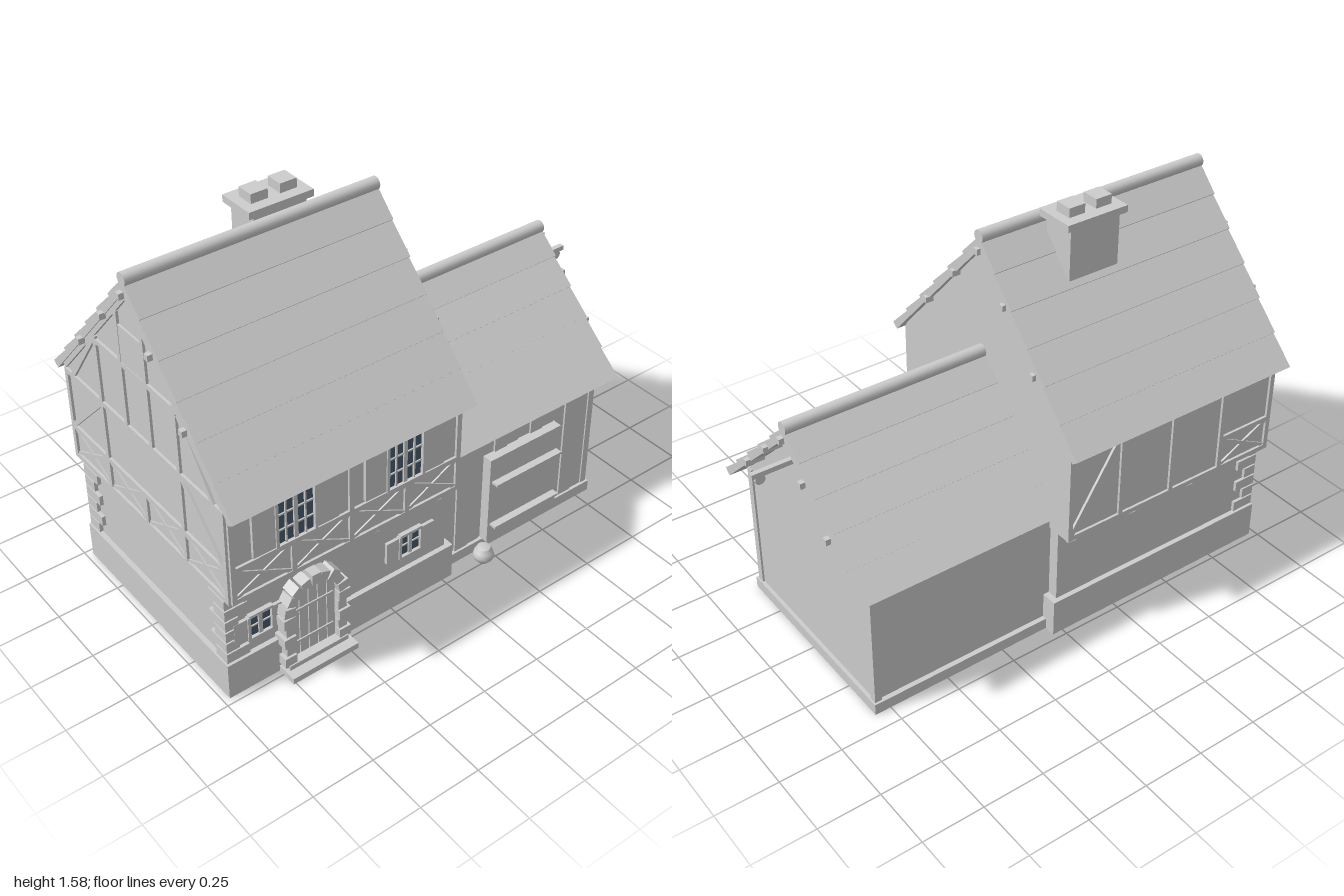
import * as THREE from 'three';

const stone = new THREE.MeshStandardMaterial({ color: 0xcccccc });
stone.name = 'pale grey';
const glass = new THREE.MeshStandardMaterial({ color: 0x4a5c6e });
glass.name = 'window glass';

function add(parent, name, geo, mat = stone) {
  const m = new THREE.Mesh(geo, mat);
  m.name = name;
  parent.add(m);
  return m;
}
// Box given by its minimum and maximum on each axis
function box(parent, name, x0, x1, y0, y1, z0, z1, mat) {
  const m = add(parent, name, new THREE.BoxGeometry(x1 - x0, y1 - y0, z1 - z0), mat);
  m.position.set((x0 + x1) / 2, (y0 + y1) / 2, (z0 + z1) / 2);
  return m;
}
// Cross-section of [z, y] points drawn out along x
function prism(parent, name, pts, x0, x1) {
  const shape = new THREE.Shape(pts.map(p => new THREE.Vector2(p[0], p[1])));
  const geo = new THREE.ExtrudeGeometry(shape, { depth: x1 - x0, bevelEnabled: false });
  geo.rotateY(-Math.PI / 2).translate(x1, 0, 0);
  return add(parent, name, geo);
}
// Flat timber between two points on a facade (local z points outwards)
function timber(parent, x0, y0, x1, y1, w = 0.02, d = 0.012) {
  const m = add(parent, 'timber', new THREE.BoxGeometry(Math.hypot(x1 - x0, y1 - y0), w, d));
  m.position.set((x0 + x1) / 2, (y0 + y1) / 2, d / 2 - 0.002);
  m.rotation.z = Math.atan2(y1 - y0, x1 - x0);
}
function cross(parent, x0, x1, y0, y1) {
  timber(parent, x0, y0, x1, y1, 0.014, 0.008);
  timber(parent, x0, y1, x1, y0, 0.014, 0.009);
}
function facade(parent, name, x, z, turn) {
  const g = new THREE.Group();
  g.name = name;
  g.position.set(x, 0, z);
  g.rotation.y = turn;
  parent.add(g);
  return g;
}

// Both stepped roof slopes, the ridge roll and the purlin ends
function roof(parent, x0, x1, inTop, outTop, inEave, outEave, tiers, purlins, ends) {
  for (const s of [1, -1]) {
    const pts = [[0, inTop], [s * inEave[0], inEave[1]]];
    for (let i = tiers; i > 0; i--) {
      const at = (t, up) => [s * outEave[0] * t + s * up, outTop + (outEave[1] - outTop) * t + up];
      pts.push(at(i / tiers, 0.004), at((i - 1) / tiers, i === 1 ? 0 : -0.003));
    }
    prism(parent, 'roofSlope', pts, x0, x1);
  }
  const ridge = add(parent, 'ridgeRoll', new THREE.CylinderGeometry(0.025, 0.025, x1 - x0, 20));
  ridge.rotation.z = Math.PI / 2;
  ridge.position.set((x0 + x1) / 2, outTop, 0);
  for (const [z, y] of purlins) for (const s of z ? [1, -1] : [1])
    box(parent, 'purlin', ends[0], ends[1], y - 0.012, y + 0.012, s * z - 0.011, s * z + 0.011);
}

// Casement window with shutters
function windowUnit(parent, cx, y0, y1, half, shutter, z, cols, rows) {
  const g = new THREE.Group();
  g.name = 'window';
  parent.add(g);
  const f = 0.012;
  box(g, 'pane', cx - half, cx + half, y0, y1, z, z + 0.005, glass);
  for (const s of [-1, 1]) {
    const jamb = cx + s * half;
    box(g, 'frameSide', jamb - f / 2, jamb + f / 2, y0, y1, z, z + 0.018);
    const a = cx + s * (half + f / 2), b = a + s * shutter;
    box(g, 'shutter', Math.min(a, b), Math.max(a, b), y0 + 0.005, y1 - 0.005, z, z + 0.013);
  }
  for (const y of [y0, y1]) box(g, 'frameRail', cx - half, cx + half, y - f / 2, y + f / 2, z, z + 0.018);
  for (let i = 1; i < cols; i++) {
    const x = cx - half + 2 * half * i / cols, w = i * 2 === cols ? 0.008 : 0.003;
    box(g, 'mullion', x - w, x + w, y0, y1, z, z + 0.012);
  }
  for (let j = 1; j < rows; j++) {
    const y = y0 + (y1 - y0) * j / rows;
    box(g, 'glazingBar', cx - half, cx + half, y - 0.003, y + 0.003, z, z + 0.01);
  }
}

function buildHouse(root) {
  const g = new THREE.Group();
  g.name = 'house';
  root.add(g);
  box(g, 'plinth', -0.975, 0.045, 0, 0.155, -0.475, 0.475);
  box(g, 'lowerWall', -0.955, 0.02, 0.15, 0.475, -0.455, 0.455);
  prism(g, 'upperWall', [[-0.51, 0.47], [0.51, 0.47], [0.51, 0.89], [0, 1.448], [-0.51, 0.89]], -0.965, 0.025);
  roof(g, -0.98, 0.045, 1.447, 1.5, [0.55, 0.85], [0.572, 0.866], 6,
    [[0, 1.445], [0.15, 1.29], [0.327, 1.095]], [-1, 0.06]);

  // Timber framing, front and back
  const posts = [-0.955, -0.71, -0.465, -0.22, 0.015];
  for (const s of [1, -1]) {
    const f = facade(g, s > 0 ? 'frontFraming' : 'backFraming', 0, s * 0.51, s > 0 ? 0 : Math.PI);
    for (const y of [0.48, 0.615, 0.865]) {
      if (s < 0 && y === 0.615) timber(f, 0.71, y, 0.965, y);
      else timber(f, s * -0.965, y, s * 0.025, y);
    }
    posts.forEach((x, i) => {
      const low = s > 0 && i % 2 === 1;
      timber(f, s * x, 0.475, s * x, low ? 0.615 : 0.87);
      if (i < 4 && (s > 0 || i === 0)) cross(f, s * x, s * posts[i + 1], 0.485, 0.61);
    });
    if (s < 0) timber(f, -0.015, 0.485, 0.22, 0.86);
    // Jetty brackets
    for (const x of [-0.9, -0.605, -0.32, -0.035])
      prism(g, 'bracket', [[s * 0.45, 0.472], [s * 0.51, 0.472], [s * 0.51, 0.455], [s * 0.465, 0.41], [s * 0.45, 0.41]], x - 0.016, x + 0.016);
  }

  // Timber framing on the left gable
  const l = facade(g, 'gableFraming', -0.965, 0, -Math.PI / 2);
  for (const [y, h] of [[0.48, 0.51], [0.615, 0.51], [0.865, 0.51], [1.13, 0.28]]) timber(l, -h, y, h, y);
  for (const x of [-0.5, -0.25, 0, 0.25, 0.5]) {
    timber(l, x, 0.475, x, x ? 0.87 : 0.62);
    if (x < 0.5) cross(l, x, x + 0.25, 0.485, 0.61);
  }
  for (const s of [-1, 1]) {
    timber(l, s * 0.49, 0.625, s * 0.26, 0.855);
    timber(l, s * 0.25, 0.87, s * 0.25, 1.15);
    timber(l, s * 0.08, 0.87, s * 0.08, 1.34);
    timber(l, s * 0.45, 0.87, s * 0.27, 1.12);
    timber(l, s * 0.505, 0.885, 0, 1.435);
  }
  box(l, 'atticHatch', -0.07, 0.07, 1.14, 1.29, 0, 0.008);

  // Windows
  for (const x of [-0.7, -0.232]) windowUnit(g, x, 0.63, 0.828, 0.08, 0.09, 0.511, 4, 3);
  windowUnit(g, -0.825, 0.22, 0.325, 0.05, 0.055, 0.456, 2, 2);
  windowUnit(g, -0.157, 0.22, 0.325, 0.05, 0.055, 0.456, 2, 2);

  // Corner stones at the left corners
  for (const s of [1, -1]) for (let i = 0; i < 6; i++) {
    const y = 0.16 + i * 0.05, long = i % 2 === 0;
    const zs = [s * 0.468, s * (long ? 0.4 : 0.37)].sort((a, b) => a - b);
    box(g, 'cornerStone', -0.97, long ? -0.875 : -0.915, y, y + 0.043, zs[0], zs[1]);
  }

  // Arched door: planks cut to the arch, straps, stone surround and steps
  const cx = -0.615, spring = 0.27, r = 0.1;
  for (let i = 0; i < 5; i++) {
    const x = cx - r + i * 0.04, top = t => spring + Math.sqrt(Math.max(0, r * r - (t - cx) ** 2));
    const shape = new THREE.Shape();
    shape.moveTo(x + 0.002, 0.03);
    shape.lineTo(x + 0.038, 0.03);
    for (let k = 4; k >= 0; k--) shape.lineTo(x + 0.002 + k * 0.009, top(x + 0.002 + k * 0.009));
    add(g, 'doorPlank', new THREE.ExtrudeGeometry(shape, { depth: 0.035, bevelEnabled: false })).position.z = 0.45;
  }
  for (const y of [0.11, 0.26]) box(g, 'doorStrap', cx - 0.085, cx + 0.085, y - 0.005, y + 0.005, 0.48, 0.49);
  for (let i = 0; i < 9; i++) {
    const a = Math.PI * (i + 0.5) / 9, d = i % 2 ? 0.114 : 0.119;
    const m = add(g, 'archStone', new THREE.BoxGeometry(i % 2 ? 0.036 : 0.045, 0.039, 0.065));
    m.position.set(cx + d * Math.cos(a), spring + d * Math.sin(a), i % 2 ? 0.476 : 0.481);
    m.rotation.z = a;
  }
  for (const s of [-1, 1]) for (let i = 0; i < 5; i++) {
    const a = cx + s * 0.095, b = cx + s * (i % 2 ? 0.132 : 0.145), y = 0.04 + i * 0.046;
    box(g, 'jambStone', Math.min(a, b), Math.max(a, b), y, y + 0.043, 0.45, i % 2 ? 0.508 : 0.515);
  }
  box(g, 'lowerStep', cx - 0.145, cx + 0.145, 0, 0.025, 0.45, 0.56);
  box(g, 'upperStep', cx - 0.13, cx + 0.13, 0.025, 0.045, 0.45, 0.52);

  // Chimney
  box(g, 'chimneyStack', -0.443, -0.223, 1.2, 1.52, -0.176, -0.042);
  box(g, 'chimneyCap', -0.467, -0.2, 1.517, 1.545, -0.19, -0.03);
  for (const x of [-0.393, -0.273]) box(g, 'chimneyPot', x - 0.035, x + 0.035, 1.54, 1.582, -0.146, -0.075);
}

function buildBarn(root) {
  const g = new THREE.Group();
  g.name = 'barn';
  root.add(g);
  box(g, 'barnPlinth', 0.04, 0.815, 0, 0.047, -0.43, 0.43);
  prism(g, 'barnWall', [[-0.41, 0.04], [0.41, 0.04], [0.41, 0.59], [0, 0.982], [-0.41, 0.59]], 0.02, 0.8);
  prism(g, 'gableBoard', [[-0.4, 0.6], [0.4, 0.6], [0, 0.98]], 0.79, 0.808);
  roof(g, 0.03, 0.865, 0.983, 1.03, [0.458, 0.552], [0.48, 0.57], 5,
    [[0, 0.985], [0.126, 0.875], [0.275, 0.73]], [0.78, 0.885]);
  for (const s of [-1, 1]) box(g, 'cornerPost', 0.78, 0.808, 0.045, 0.59, s * 0.405 - 0.015, s * 0.405 + 0.015);

  // Front boarding with uneven faces
  for (let i = 0; i < 12; i++) {
    const x = 0.045 + i * 0.061;
    box(g, 'wallBoard', x, x + 0.061, 0.045, 0.59, 0.4, 0.413 + (i * 5 % 3) * 0.004);
  }
  box(g, 'barnDoor', 0.24, 0.6, 0.045, 0.447, 0.4, 0.455);
  for (const y of [0.13, 0.338]) box(g, 'barnDoorStrap', 0.252, 0.585, y - 0.005, y + 0.005, 0.45, 0.485);

  // Hoist beam with its pulley
  box(g, 'hoistBeam', 0.78, 0.998, 0.876, 0.896, -0.01, 0.01);
  const pulley = add(g, 'pulley', new THREE.CylinderGeometry(0.02, 0.02, 0.012, 16));
  pulley.rotation.x = Math.PI / 2;
  pulley.position.set(0.965, 0.862, 0);

  // Round jar by the door
  const jar = [[0, 0], [0.025, 0.002], [0.038, 0.018], [0.041, 0.034], [0.036, 0.052], [0.024, 0.062], [0.026, 0.07], [0, 0.07]];
  const pot = add(g, 'jar', new THREE.LatheGeometry(jar.map(p => new THREE.Vector2(...p)), 24));
  pot.position.set(0.197, 0, 0.487);
}

export function createModel() {
  const root = new THREE.Group();
  root.name = 'farmhouse';
  buildHouse(root);
  buildBarn(root);
  return root;
}
